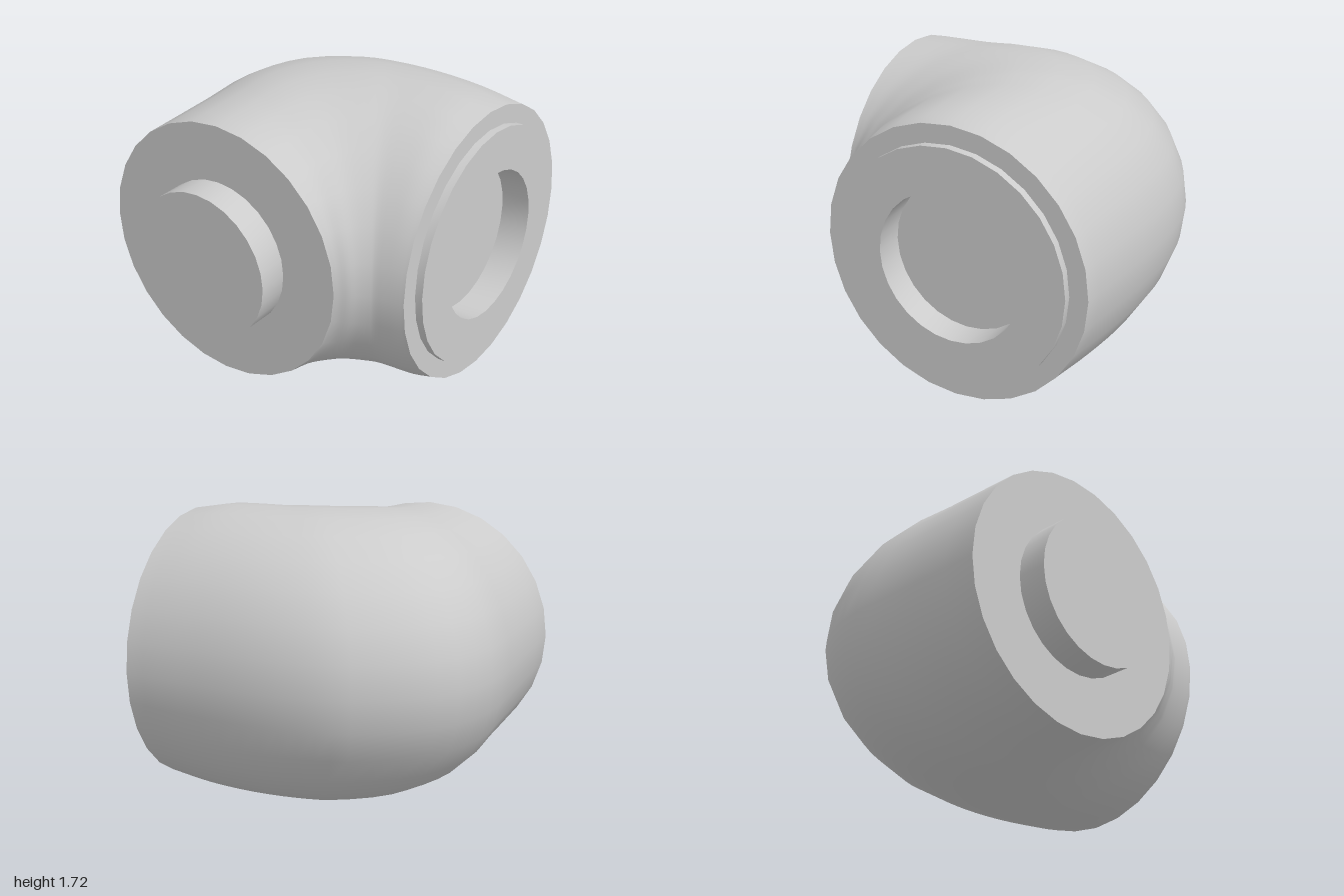
import * as THREE from 'three';
import { toCreasedNormals } from 'three/addons/utils/BufferGeometryUtils.js';

const SIDES = 28;
const AXIS_Y = 0.865;
const material = new THREE.MeshStandardMaterial({ color: 0xcccccc });

// Elbow sections: inner x, inner z, outer x, outer z, half height
const SECTIONS = [
  [-0.82, 0.59, -0.82, -0.97, 0.78],
  [-0.80, 0.62, -0.20, -0.99, 0.80],
  [-0.78, 0.66, 0.25, -0.99, 0.83],
  [-0.75, 0.70, 0.63, -0.82, 0.85],
  [-0.72, 0.75, 0.90, -0.43, 0.862],
  [-0.71, 0.77, 0.98, -0.15, 0.86],
  [-0.70, 0.82, 1.00, 0.20, 0.86],
  [-0.69, 0.88, 0.975, 0.60, 0.85],
  [-0.68, 0.945, 0.945, 0.945, 0.815],
];

// Lofts elliptical rings around the bend, from the side face to the front face
function elbowGeometry(steps) {
  const inner = new THREE.CatmullRomCurve3(SECTIONS.map(s => new THREE.Vector3(s[0], 0, s[1])));
  const outer = new THREE.CatmullRomCurve3(SECTIONS.map(s => new THREE.Vector3(s[2], s[4], s[3])));
  const positions = [];
  const index = [];
  for (let i = 0; i <= steps; i++) {
    const a = inner.getPoint(i / steps);
    const b = outer.getPoint(i / steps);
    for (let j = 0; j < SIDES; j++) {
      const angle = (j / SIDES) * Math.PI * 2;
      const w = (1 + Math.cos(angle)) / 2;
      positions.push(a.x + (b.x - a.x) * w, AXIS_Y + b.y * Math.sin(angle), a.z + (b.z - a.z) * w);
      if (i < steps) {
        const k = (j + 1) % SIDES;
        const p = i * SIDES + j, q = i * SIDES + k;
        index.push(p, q, p + SIDES, q, q + SIDES, p + SIDES);
      }
    }
  }
  const geometry = new THREE.BufferGeometry();
  geometry.setAttribute('position', new THREE.Float32BufferAttribute(positions, 3));
  geometry.setIndex(index);
  geometry.computeVertexNormals();
  return geometry;
}

// Stepped round end, given as radius and height pairs
function steppedEnd(profile) {
  const points = profile.map(([r, h]) => new THREE.Vector2(r, h));
  const lathe = new THREE.LatheGeometry(points, SIDES);
  return toCreasedNormals(lathe, Math.PI / 5);
}

export function createModel() {
  const group = new THREE.Group();
  const add = (name, geometry) => {
    const mesh = new THREE.Mesh(geometry, material);
    mesh.name = name;
    group.add(mesh);
    return mesh;
  };

  add('elbowBody', elbowGeometry(24));

  // Front face with a raised lip and a round socket
  const socket = add('frontSocket', steppedEnd([
    [0.815, 0], [0.705, 0], [0.705, 0.045], [0.445, 0.045], [0.445, -0.13], [0, -0.13],
  ]));
  socket.rotation.x = Math.PI / 2;
  socket.position.set(0.1325, AXIS_Y, 0.945);

  // Side face with a round peg
  const peg = add('sidePeg', steppedEnd([[0.78, 0], [0.44, 0], [0.44, 0.18], [0, 0.18]]));
  peg.rotation.z = Math.PI / 2;
  peg.position.set(-0.82, AXIS_Y, -0.19);

  return group;
}
